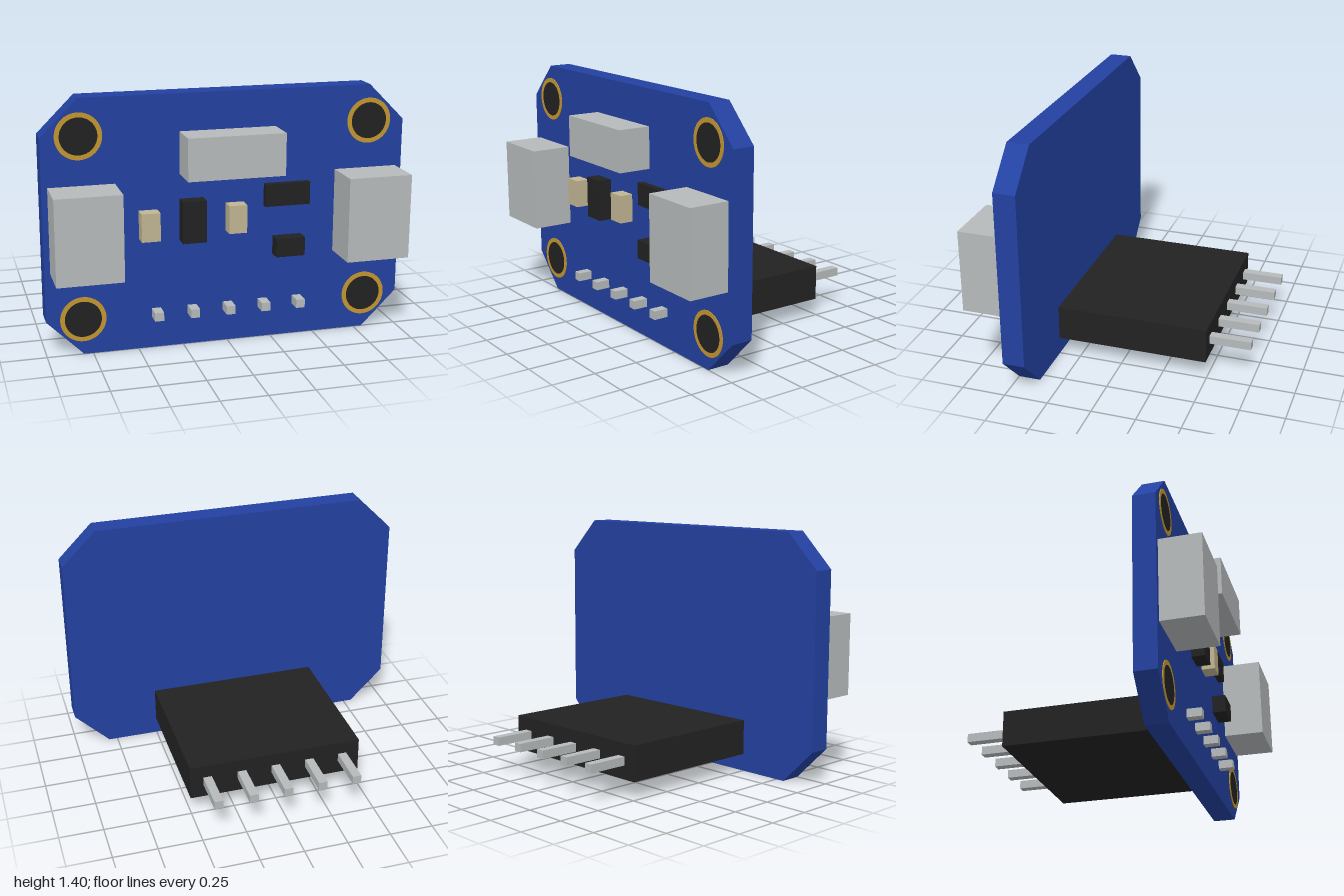
import * as THREE from 'three';

export function createModel() {
  const model = new THREE.Group();
  model.name = 'circuitBoardModule';

  const mat = (name, color) => {
    const m = new THREE.MeshStandardMaterial({ color });
    m.name = name;
    return m;
  };
  const blue = mat('boardBlue', 0x2341a0);
  const black = mat('plasticBlack', 0x222222);
  const silver = mat('metalSilver', 0xb6babb);
  const gold = mat('padGold', 0xc2952f);
  const tan = mat('ceramicTan', 0xc0b492);

  const add = (name, geometry, material) => {
    const mesh = new THREE.Mesh(geometry, material);
    mesh.name = name;
    model.add(mesh);
    return mesh;
  };
  // Box given by its lower and upper limits on each axis
  const box = (name, material, x0, x1, y0, y1, z0, z1) =>
    add(name, new THREE.BoxGeometry(x1 - x0, y1 - y0, z1 - z0), material)
      .position.set((x0 + x1) / 2, (y0 + y1) / 2, (z0 + z1) / 2);

  const back = 0.375, front = 0.5;

  // Board with clipped corners
  const outline = new THREE.Shape([
    [-0.8, 0], [0.8, 0], [1, 0.2], [1, 1.2], [0.8, 1.4], [-0.8, 1.4], [-1, 1.2], [-1, 0.2],
  ].map(([x, y]) => new THREE.Vector2(x, y)));
  const board = new THREE.ExtrudeGeometry(outline, { depth: front - back, bevelEnabled: false });
  board.translate(0, 0, back);
  add('board', board, blue);

  // Mounting holes: gold ring around a dark disc
  const ringShape = new THREE.Shape().absarc(0, 0, 0.125, 0, Math.PI * 2);
  ringShape.holes.push(new THREE.Path().absarc(0, 0, 0.1, 0, Math.PI * 2, true));
  const ring = new THREE.ExtrudeGeometry(ringShape, { depth: 0.004, bevelEnabled: false, curveSegments: 32 });
  const disc = new THREE.CylinderGeometry(0.1, 0.1, 0.004, 32).rotateX(Math.PI / 2);
  for (const x of [-0.8, 0.8]) {
    for (const y of [0.2, 1.2]) {
      add('holeRing', ring, gold).position.set(x, y, front);
      add('holeDisc', disc, black).position.set(x, y, front + 0.002);
    }
  }

  // Silver connectors
  box('leftConnector', silver, 0.61, 0.965, 0.47, 0.937, front, 0.73);
  box('rightConnector', silver, -0.968, -0.613, 0.47, 0.937, front, 0.73);
  box('topConnector', silver, -0.265, 0.265, 0.967, 1.197, front, 0.685);

  // Small surface components
  box('capacitor', tan, -0.49, -0.388, 0.626, 0.781, front, 0.577);
  box('capacitor', tan, -0.012, 0.088, 0.636, 0.791, front, 0.577);
  box('tallChip', black, -0.267, -0.135, 0.6, 0.831, front, 0.577);
  box('wideChip', black, 0.203, 0.456, 0.76, 0.885, front, 0.537);
  box('smallChip', black, 0.257, 0.419, 0.481, 0.585, front, 0.577);

  // Rear header block with its row of pins
  box('header', black, -0.5, 0.5, 0.1, 0.3, -0.493, back);
  for (const x of [-0.4, -0.2, 0, 0.2, 0.4]) {
    box('headerPin', silver, x - 0.025, x + 0.025, 0.178, 0.226, -0.73, 0.582);
  }

  return model;
}
